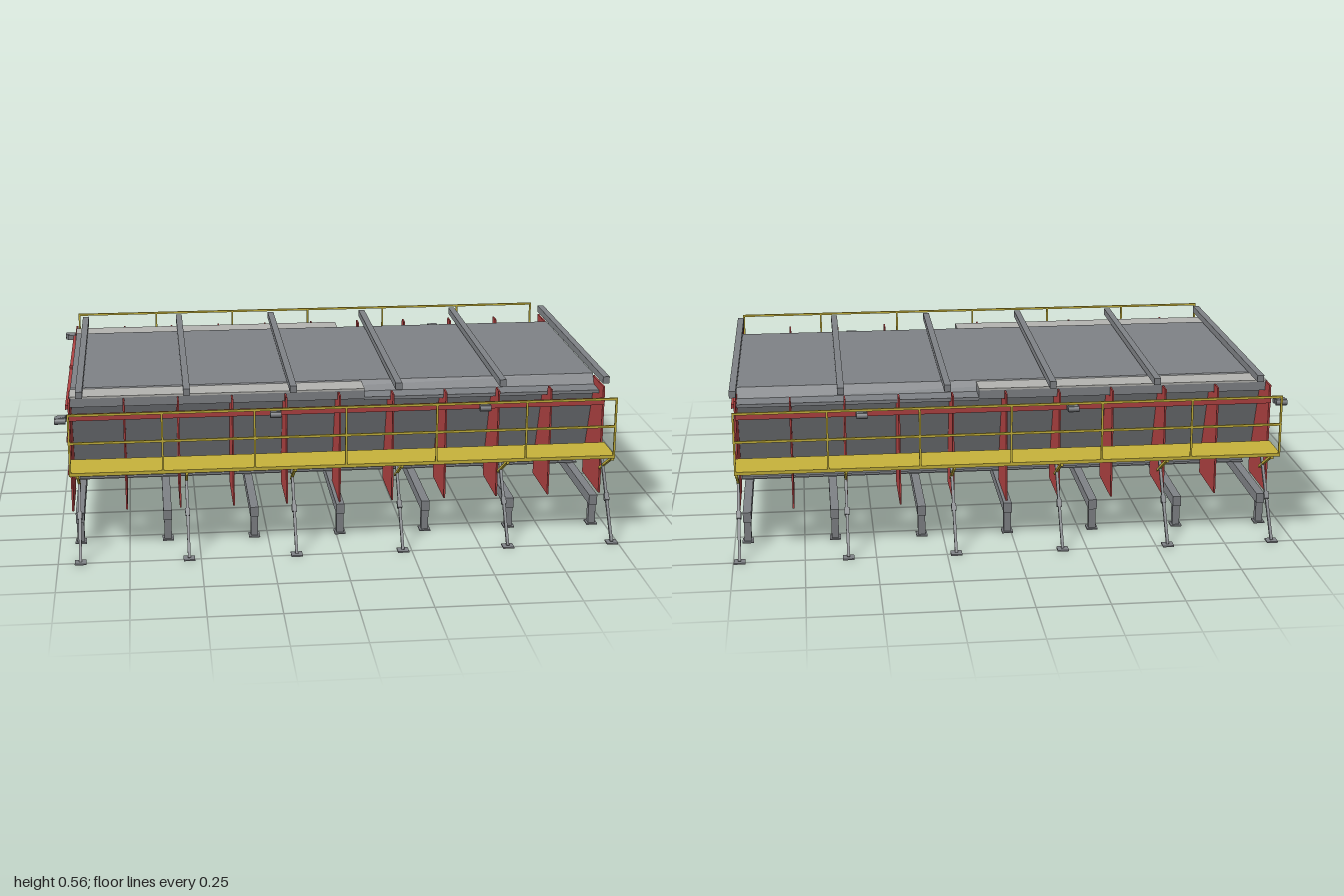
import * as THREE from 'three';

const mat = (name, color) => {
  const m = new THREE.MeshStandardMaterial({ color });
  m.name = name;
  return m;
};

export function createModel() {
  const grey = mat('steelGrey', 0x808387);
  const light = mat('lightGrey', 0xb5b5b1);
  const red = mat('frameRed', 0xb04242);
  const yellow = mat('platformYellow', 0xc8b43c);

  const model = new THREE.Group();
  model.name = 'castingMould';

  const add = (name, geometry, material) => {
    const mesh = new THREE.Mesh(geometry, material);
    mesh.name = name;
    model.add(mesh);
    return mesh;
  };
  // box given by its limits on each axis
  const box = (name, material, x0, x1, y0, y1, z0, z1) => {
    const g = new THREE.BoxGeometry(x1 - x0, y1 - y0, Math.abs(z1 - z0));
    g.translate((x0 + x1) / 2, (y0 + y1) / 2, (z0 + z1) / 2);
    return add(name, g, material);
  };
  // (z, y) outline extruded along x between x0 and x1
  const section = (name, material, points, x0, x1) => {
    const shape = new THREE.Shape(points.map(([z, y]) => new THREE.Vector2(z, y)));
    const g = new THREE.ExtrudeGeometry(shape, { depth: x1 - x0, bevelEnabled: false });
    g.rotateY(-Math.PI / 2);
    g.translate(x1, 0, 0);
    return add(name, g, material);
  };
  // square bar between two (z, y) points at a given x
  const bar = (name, material, x, [z0, y0], [z1, y1], t) => {
    const length = Math.hypot(z1 - z0, y1 - y0);
    const mesh = add(name, new THREE.BoxGeometry(t, t, length), material);
    mesh.position.set(x, (y0 + y1) / 2, (z0 + z1) / 2);
    mesh.rotation.x = -Math.atan2(y1 - y0, z1 - z0);
    return mesh;
  };
  const mirrored = (half) => [...half, ...half.map(([z, y]) => [-z, y]).reverse()];

  const X0 = -0.95, X1 = 0.98, SPLIT = 0.11;

  // trough body with sloping sides
  section('troughBody', grey,
    mirrored([[0.30, 0.178], [0.41, 0.495], [0.385, 0.533]]), X0 + 0.002, X1 - 0.002);

  // red end frames with stiffening bars
  const endFrame = mirrored([
    [0.25, 0.235], [0.36, 0.495], [0.386, 0.525], [0.54, 0.525],
    [0.54, 0.117], [0.30, 0.117], [0.30, 0.175],
  ]);
  // reorder into one loop: inner edge, one leg, underside, other leg
  for (const dir of [-1, 1]) {
    const x = dir < 0 ? X0 : X1;
    section('endFrame', red, endFrame, x - 0.003, x + 0.004);
    const a = dir < 0 ? x - 0.014 : x + 0.004;
    for (const y of [0.491, 0.368, 0.243]) {
      box('endCrossBar', red, a, a + 0.011, y - 0.008, y + 0.008, -0.485, 0.485);
    }
    box('endPost', red, a - 0.001, a + 0.012, 0.195, 0.507, -0.01, 0.01);
  }

  // cross beams above the trough and props along the sides share one spacing
  for (let i = 0; i < 6; i++) {
    const x = -0.913 + i * 0.38;
    box('topBeam', grey, x - 0.012, x + 0.012, 0.538, 0.563, -0.54, 0.54);
  }

  // ground beams on legs
  for (let i = 0; i < 7; i++) {
    const x = -0.925 + i * 0.313;
    box('groundBeam', grey, x - 0.015, x + 0.015, 0.08, 0.117, -0.565, 0.565);
    for (const s of [-1, 1]) {
      box('leg', grey, x - 0.013, x + 0.013, 0.004, 0.08, s * 0.53, s * 0.555);
      box('legFoot', grey, x - 0.02, x + 0.02, 0, 0.005, s * 0.52, s * 0.565);
    }
  }

  for (const s of [-1, 1]) {
    // rims: raised with a light cover on one half, low on the other
    box('raisedRim', grey, X0, SPLIT, 0.49, 0.522, s * 0.395, s * 0.484);
    box('rimCover', light, X0, SPLIT, 0.522, 0.529, s * 0.388, s * 0.485);
    box('lowRim', grey, SPLIT, X1, 0.485, 0.497, s * 0.40, s * 0.485);

    // lengthwise floor joists
    box('joistWeb', grey, X0, X1, 0.117, 0.178, s * 0.178, s * 0.183);
    box('joistTopFlange', grey, X0, X1, 0.173, 0.178, s * 0.16, s * 0.20);
    box('joistBottomFlange', grey, X0, X1, 0.117, 0.121, s * 0.16, s * 0.20);

    // side ribs
    const rib = [
      [0.54, 0.117], [0.54, 0.52], [0.487, 0.52], [0.487, 0.487],
      [0.408, 0.487], [0.30, 0.178], [0.30, 0.117],
    ].map(([z, y]) => [s * z, y]);
    for (let i = 1; i < 10; i++) {
      const x = X0 + i * 0.193;
      section('sideRib', red, rib, x - 0.003, x + 0.003);
    }

    // lengthwise red rails
    for (const y of [0.473, 0.281]) {
      box('sideRail', red, X0, X1, y - 0.011, y + 0.011, s * 0.54, s * 0.558);
    }

    // vibrators on the upper rail
    for (const x of [-0.98, -0.22, 0.535]) {
      box('vibratorMount', grey, x - 0.01, x + 0.022, 0.463, 0.483, s * 0.55, s * 0.566);
      const g = new THREE.CylinderGeometry(0.012, 0.012, 0.04, 12);
      g.rotateZ(Math.PI / 2);
      g.translate(x, 0.473, s * 0.585);
      add('vibrator', g, grey);
      box('vibratorHousing', grey, x - 0.018, x + 0.018, 0.462, 0.484, s * 0.562, s * 0.592);
    }

    // walkway and railing
    box('walkway', yellow, X0, 0.985, 0.308, 0.32, s * 0.56, s * 0.71);
    for (const y of [0.53, 0.428]) {
      box('handrail', yellow, X0, 0.985, y - 0.004, y + 0.004, s * 0.704, s * 0.711);
    }
    for (let i = 0; i < 7; i++) {
      const x = X0 + 0.004 + i * 0.3212;
      box('railPost', yellow, x - 0.0035, x + 0.0035, 0.315, 0.533, s * 0.704, s * 0.711);
    }

    for (let i = 0; i < 6; i++) {
      const x = -0.922 + i * 0.38;
      // walkway brackets
      bar('walkwayBracket', yellow, x, [s * 0.70, 0.308], [s * 0.54, 0.214], 0.009);
      box('walkwayArm', yellow, x - 0.005, x + 0.005, 0.298, 0.308, s * 0.54, s * 0.705);
      // slanted props with a turnbuckle and a foot
      bar('prop', grey, x, [s * 0.747, 0.004], [s * 0.548, 0.285], 0.01);
      bar('propTurnbuckle', grey, x, [s * 0.658, 0.130], [s * 0.643, 0.151], 0.017);
      box('propHead', grey, x - 0.01, x + 0.01, 0.272, 0.292, s * 0.54, s * 0.56);
      box('propFoot', grey, x - 0.02, x + 0.02, 0, 0.005, s * 0.727, s * 0.767);
    }
  }

  return model;
}
